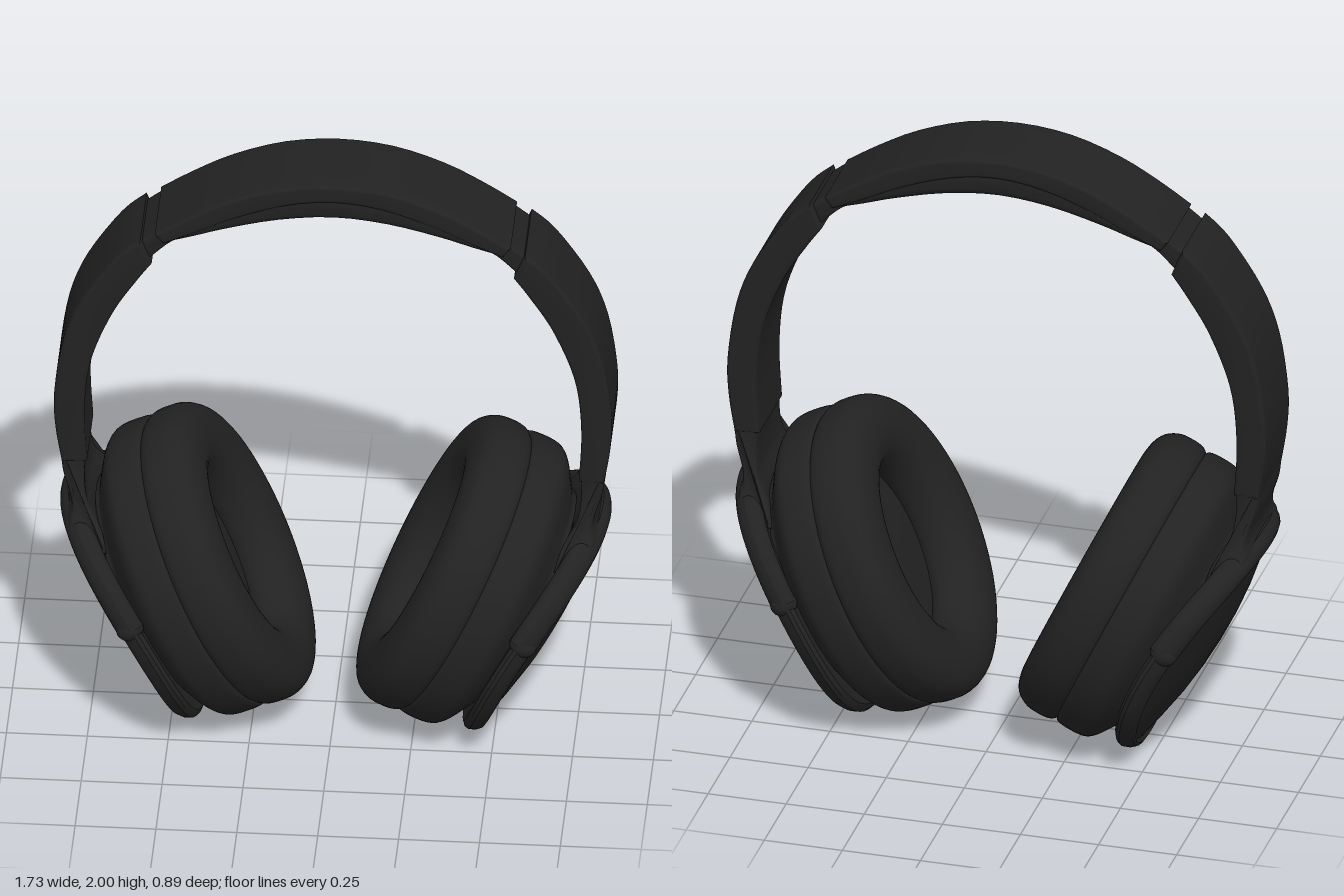
import * as THREE from 'three';
import { toCreasedNormals } from 'three/addons/utils/BufferGeometryUtils.js';

const black = new THREE.MeshStandardMaterial({ color: 0x222222 });
black.name = 'matteBlack';

const vec = (pts) => pts.map(([x, y]) => new THREE.Vector2(x, y));
const smooth = (pts, n = 24) => new THREE.SplineCurve(vec(pts)).getPoints(n);

function part(name, geometry) {
  const mesh = new THREE.Mesh(geometry, black);
  mesh.name = name;
  return mesh;
}

// Strip between an outer and an inner curve, extruded to a full width in z
function strip(outer, inner, width, bevel) {
  const shape = new THREE.Shape([...smooth(outer), ...smooth(inner).reverse()]);
  const depth = width - 2 * bevel;
  const geo = new THREE.ExtrudeGeometry(shape, {
    depth, steps: 8, bevelEnabled: true, bevelSize: bevel, bevelThickness: bevel,
    bevelOffset: -bevel, bevelSegments: 4,
  });
  geo.translate(0, 0, -depth / 2);
  return geo;
}

// Mirror a half curve (starting on x = 0) to both sides
const bothSides = (half) => [...half.slice(1).reverse().map(([x, y]) => [-x, y]), ...half];

// Lathe whose axis points outward along +x; pts are [radius, offset]
function turned(pts, samples) {
  const profile = samples ? smooth(pts, samples) : vec(pts);
  return new THREE.LatheGeometry(profile, 72).rotateZ(-Math.PI / 2);
}

// Move every vertex by a rule
function reshape(geo, rule) {
  const p = geo.attributes.position;
  const v = new THREE.Vector3();
  for (let i = 0; i < p.count; i++) {
    rule(v.fromBufferAttribute(p, i));
    p.setXYZ(i, v.x, v.y, v.z);
  }
  geo.computeVertexNormals();
  return geo;
}

// Wrap a plate backwards towards its front and rear edges
const wrap = (v) => { v.x -= 0.4 * v.z * v.z; };

function earCup() {
  const cup = new THREE.Group();
  cup.name = 'earCup';
  cup.rotation.z = THREE.MathUtils.degToRad(-28);

  // Oval body, a little more upright than the outer plate
  const oval = new THREE.Group();
  oval.name = 'ovalBody';
  oval.position.y = 0.633;
  oval.rotation.z = 0.045;
  oval.scale.z = 0.895;
  cup.add(oval);

  // Soft cushion with its taller-than-wide opening
  const cushion = turned([
    [0.29, 0.1], [0.265, 0.06], [0.272, 0.01], [0.305, -0.035], [0.36, -0.057], [0.42, -0.054],
    [0.468, -0.032], [0.494, 0.008], [0.499, 0.05], [0.496, 0.085], [0.485, 0.105], [0.47, 0.115],
  ], 40);
  oval.add(part('cushion', reshape(cushion, (v) => {
    const r = Math.hypot(v.y, v.z);
    v.z *= 1 - 0.14 * THREE.MathUtils.clamp((0.44 - r) / 0.16, 0, 1);
  })));
  oval.add(part('speakerCover', turned([[0, 0.07], [0.15, 0.075], [0.3, 0.09]])));

  // Stepped housing behind the cushion
  oval.add(part('housing', turned([
    [0.465, 0.105], [0.483, 0.11], [0.491, 0.122], [0.494, 0.15], [0.493, 0.19], [0.486, 0.218],
    [0.466, 0.242], [0.43, 0.267], [0.38, 0.298], [0.335, 0.322], [0, 0.325],
  ], 44)));

  // Domed outer plate with a raised rim
  const plate = part('outerPlate', toCreasedNormals(reshape(turned([
    [0, 0.32], [0.3, 0.32], [0.36, 0.328], [0.415, 0.335], [0.428, 0.348], [0.432, 0.362], [0.424, 0.382],
    [0.41, 0.396], [0.397, 0.397], [0.387, 0.386], [0.3, 0.402], [0.2, 0.418], [0.1, 0.427], [0, 0.43],
  ]), wrap), 0.6));
  plate.position.y = 0.64;
  plate.scale.y = 1.02;
  cup.add(plate);

  // Yoke arms reaching round the top of the cup, with rounded ends
  const start = 0.23, radius = 0.403, thick = 0.038, offset = 0.362;
  const arms = new THREE.TorusGeometry(radius, thick, 16, 64, Math.PI - 2 * start);
  arms.rotateZ(start).rotateY(Math.PI / 2).scale(1.15, 1, 1).translate(offset, 0, 0);
  const yoke = part('yoke', reshape(arms, wrap));
  yoke.position.y = 0.638;
  cup.add(yoke);
  for (const side of [-1, 1]) {
    const z = side * radius * Math.cos(start);
    const end = part('yokeEnd', new THREE.SphereGeometry(thick, 20, 14));
    end.scale.x = 1.15;
    end.position.set(offset - 0.4 * z * z, 0.638 + radius * Math.sin(start), z);
    cup.add(end);
  }
  return cup;
}

function sideAssembly() {
  const side = new THREE.Group();
  side.add(earCup());

  // Long curved sleeve of the headband
  side.add(part('bandSleeve', toCreasedNormals(strip(
    [[0.838, 0.94], [0.858, 1.07], [0.861, 1.2], [0.833, 1.39], [0.777, 1.54], [0.672, 1.7], [0.595, 1.772]],
    [[0.76, 0.945], [0.768, 1.13], [0.748, 1.315], [0.683, 1.49], [0.612, 1.61], [0.56, 1.685]],
    0.28, 0.012), 0.7)));

  // Narrow folding joint between sleeve and crown
  side.add(part('foldingJoint', toCreasedNormals(strip(
    [[0.45, 1.852], [0.54, 1.799], [0.66, 1.704]],
    [[0.44, 1.79], [0.51, 1.75], [0.6, 1.66]],
    0.24, 0.01), 0.7)));

  // Stem, flaring downwards into the yoke
  const stem = strip(
    [[0.84, 0.97], [0.836, 0.9], [0.82, 0.83], [0.82, 0.785], [0.836, 0.745], [0.82, 0.69]],
    [[0.764, 0.97], [0.772, 0.88], [0.768, 0.81], [0.75, 0.765], [0.735, 0.72], [0.73, 0.67]],
    0.276, 0.012);
  side.add(part('stem', toCreasedNormals(reshape(stem, (v) => {
    const drop = Math.max(0, 0.95 - v.y);
    v.z *= 1 + 10 * drop * drop;
    v.x -= Math.min(1, drop * 5) * 0.75 * v.z * v.z;
  }), 0.7)));
  return side;
}

export function createModel() {
  const model = new THREE.Group();
  model.name = 'headphones';

  // Crown of the headband
  model.add(part('crown', toCreasedNormals(strip(
    bothSides([[0, 2], [0.167, 1.982], [0.325, 1.928], [0.45, 1.86], [0.55, 1.795]]),
    bothSides([[0, 1.94], [0.15, 1.92], [0.3, 1.868], [0.42, 1.81], [0.525, 1.762]]),
    0.28, 0.01), 0.7)));

  // Padding under the crown, bulging along its middle
  const pad = strip(
    bothSides([[0, 1.95], [0.16, 1.932], [0.31, 1.878], [0.43, 1.815], [0.525, 1.765]]),
    bothSides([[0, 1.853], [0.167, 1.836], [0.325, 1.797], [0.43, 1.763], [0.5, 1.742]]),
    0.268, 0.018);
  model.add(part('crownPad', toCreasedNormals(reshape(pad, (v) => { v.y += 1.6 * v.z * v.z; }), 1)));

  // The two sides match under a half turn
  const left = sideAssembly();
  left.name = 'leftSide';
  const right = sideAssembly();
  right.name = 'rightSide';
  right.rotation.y = Math.PI;
  model.add(left, right);
  return model;
}
